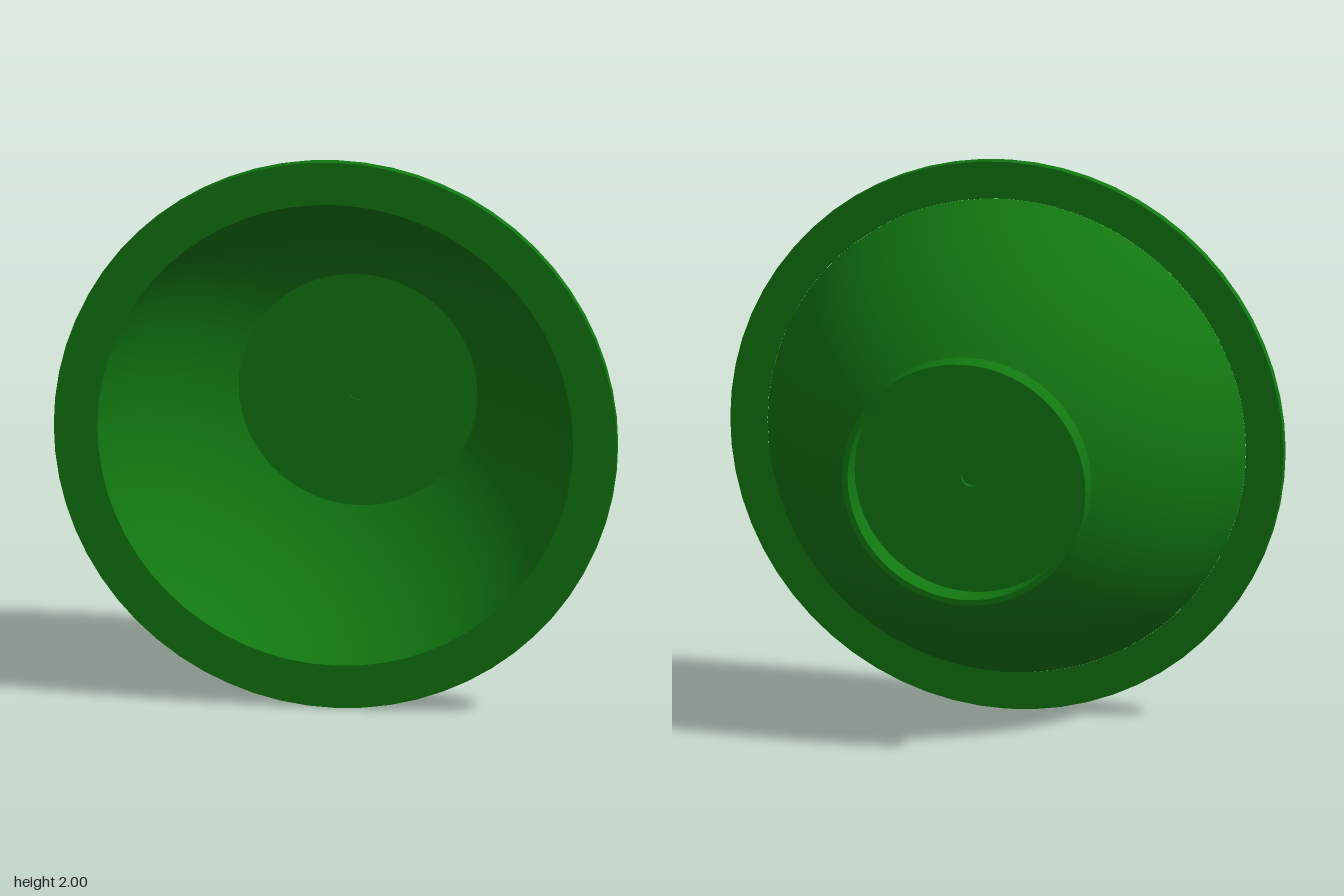
import * as THREE from 'three';

const SEGMENTS = 64;
const material = new THREE.MeshStandardMaterial({ color: 0x117711 });

// Points on a circular arc about the z axis: [radius, depth] from angle a to b.
function arc(centre, radius, a, b, steps = 20) {
  return Array.from({ length: steps + 1 }, (_, i) => {
    const t = a + (b - a) * i / steps;
    return [radius * Math.cos(t), centre + radius * Math.sin(t)];
  });
}

export function createModel() {
  const model = new THREE.Group();
  const body = new THREE.Group();
  body.name = 'flangedBowl';
  body.rotation.x = Math.PI / 2; // turn the lathe axis to face the front
  body.position.y = 1;
  model.add(body);

  // Each smooth stretch is its own lathe, so the edges between them stay sharp.
  function turn(name, points) {
    const profile = points.map(([r, z]) => new THREE.Vector2(Math.max(r, 0), z));
    const mesh = new THREE.Mesh(new THREE.LatheGeometry(profile, SEGMENTS), material);
    mesh.name = name;
    body.add(mesh);
  }
  function turnSharp(name, points) {
    for (let i = 0; i + 1 < points.length; i++) turn(name, [points[i], points[i + 1]]);
  }

  // Back: centre pit, recessed base and thin foot ring
  turnSharp('centrePit', [[0, -0.222], [0.035, -0.222], [0.035, -0.237]]);
  turn('recessedBase', [[0.035, -0.237], [0.42, -0.237]]);
  turnSharp('footRing', [[0.42, -0.237], [0.42, -0.345], [0.44, -0.345], [0.44, -0.25]]);

  // Outer wall of the bowl
  const outer = arc(0.525, 0.891, Math.atan2(-0.775, 0.44), Math.atan2(-0.215, 0.865));
  turn('bowlOutside', outer);

  // Flat rim flange
  turnSharp('rimFlange', [[0.865, 0.31], [1, 0.31], [1, 0.345], [0.845, 0.345]]);

  // Inner wall and flat floor
  const inner = arc(0.525, 0.864, Math.atan2(-0.18, 0.845), Math.atan2(-0.753, 0.424));
  turn('bowlInside', inner);
  turn('bowlFloor', [inner[inner.length - 1], [0, inner[inner.length - 1][1]]]);

  return model;
}
